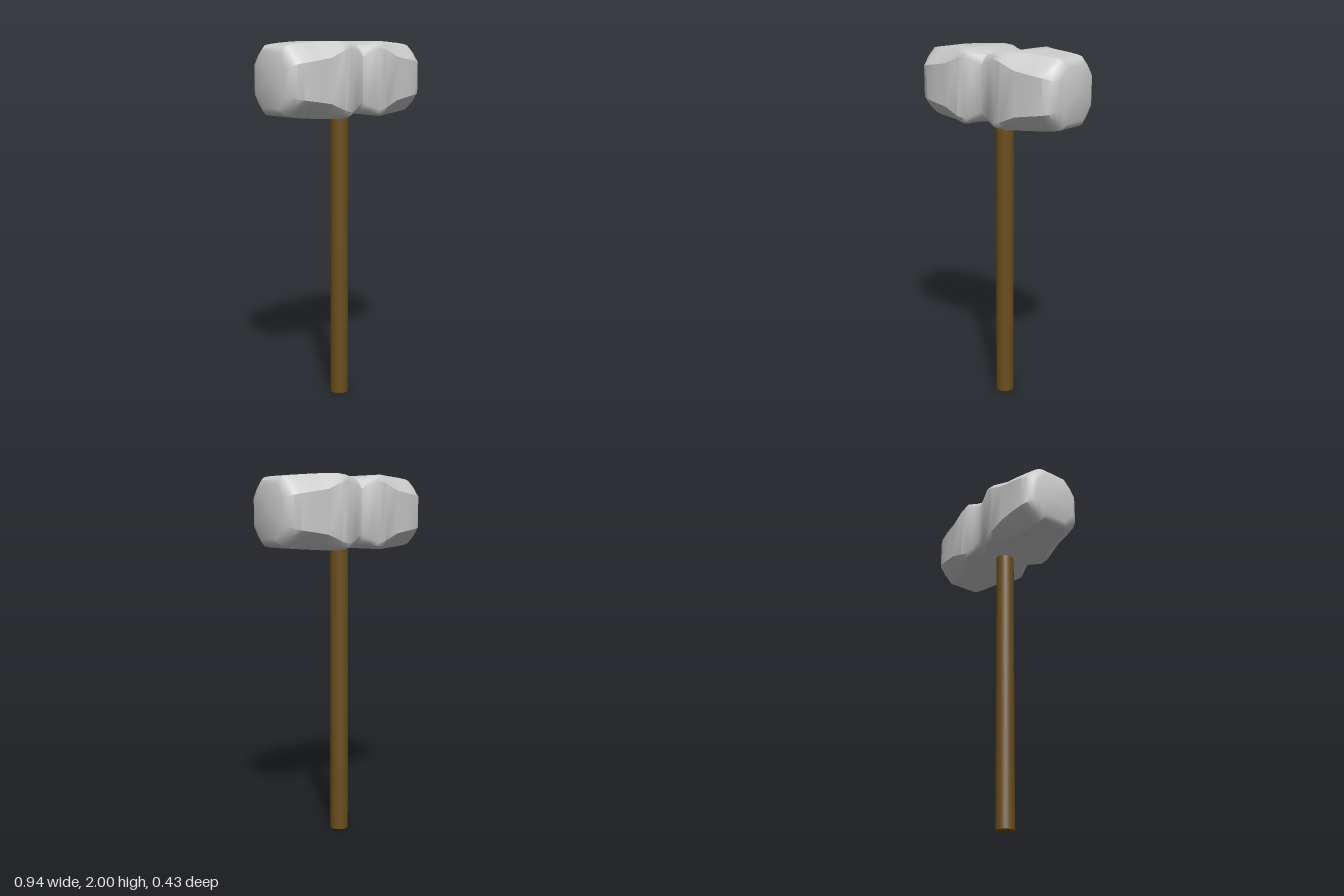
import * as THREE from 'three';
import { toCreasedNormals } from 'three/addons/utils/BufferGeometryUtils.js';

// Half of the head, from waist to striking face:
// x, half height, half depth, half flat width of the top, half flat height of the side
const HALF = [
  [0, 0.175, 0.188, 0.137, 0.12],
  [0.05, 0.181, 0.196, 0.157, 0.143],
  [0.1, 0.193, 0.21, 0.178, 0.165],
  [0.15, 0.2, 0.216, 0.166, 0.153],
  [0.24, 0.197, 0.209, 0.122, 0.116],
  [0.33, 0.191, 0.201, 0.108, 0.102],
  [0.4, 0.184, 0.189, 0.098, 0.092],
  [0.435, 0.177, 0.174, 0.09, 0.085],
  [0.458, 0.162, 0.15, 0.077, 0.074],
  [0.47, 0.14, 0.125, 0.062, 0.062],
];

// Octagon with a softly bulged point in the middle of each chamfer, as [z, y]
function section([, h, w, top, side]) {
  const bulge = 1.03;
  const diagonal = [(top + w) / 2 * bulge, (h + side) / 2 * bulge];
  const q = [[w, side], diagonal, [top, h]];
  const flip = (sz, sy) => q.map(([z, y]) => [z * sz, y * sy]);
  return [...q, ...flip(-1, 1).reverse(), ...flip(-1, -1), ...flip(1, -1).reverse()];
}

function headGeometry() {
  const mirrored = HALF.slice(1).reverse().map(([x, ...rest]) => [-x, ...rest]);
  const rows = [...mirrored, ...HALF];
  const positions = [];
  const index = [];
  const n = 12;
  for (const row of rows) {
    for (const [z, y] of section(row)) positions.push(row[0], y, z);
  }
  // Skin between neighbouring sections
  for (let i = 0; i < rows.length - 1; i++) {
    for (let j = 0; j < n; j++) {
      const a = i * n + j;
      const b = i * n + (j + 1) % n;
      index.push(a, a + n, b + n, a, b + n, b);
    }
  }
  // Flat striking faces
  const last = (rows.length - 1) * n;
  const centre = rows.length * n;
  positions.push(rows[0][0], 0, 0, -rows[0][0], 0, 0);
  for (let j = 0; j < n; j++) {
    const k = (j + 1) % n;
    index.push(centre, j, k, centre + 1, last + k, last + j);
  }
  const geometry = new THREE.BufferGeometry();
  geometry.setAttribute('position', new THREE.Float32BufferAttribute(positions, 3));
  geometry.setIndex(index);
  return toCreasedNormals(geometry, 0.6);
}

export function createModel() {
  const model = new THREE.Group();
  model.name = 'sledgehammer';

  // Forged head with a pinched waist
  const head = new THREE.Mesh(headGeometry(), new THREE.MeshStandardMaterial({ color: 0xcccccc }));
  head.name = 'head';
  head.position.y = 1.8;
  model.add(head);

  // Round wooden handle, ending inside the head
  const length = 1.75;
  const handle = new THREE.Mesh(
    new THREE.CylinderGeometry(0.051, 0.051, length, 32),
    new THREE.MeshStandardMaterial({ color: 0x6b4e1c })
  );
  handle.name = 'handle';
  handle.position.y = length / 2;
  model.add(handle);

  return model;
}
